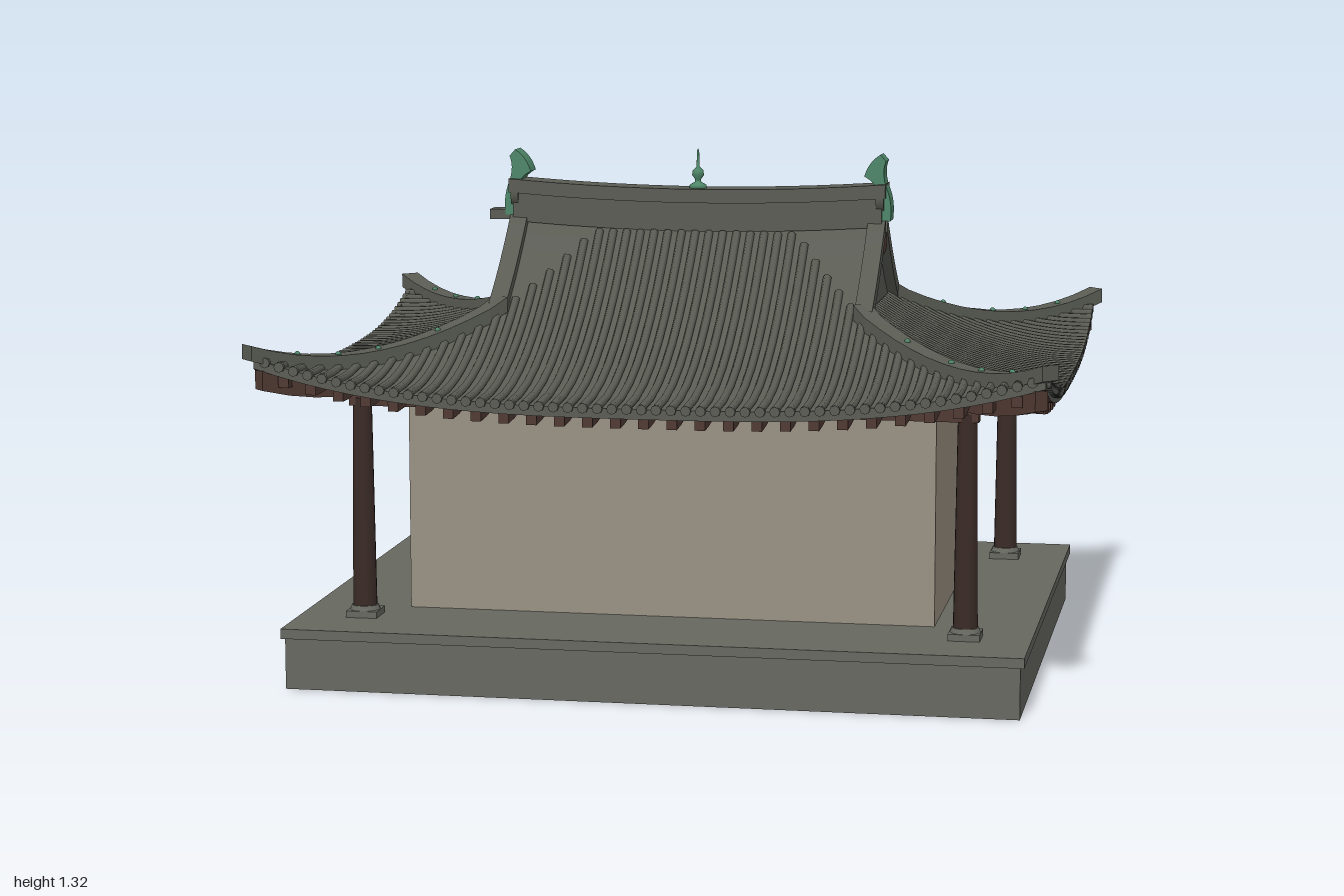
import * as THREE from 'three';
import { mergeGeometries } from 'three/addons/utils/BufferGeometryUtils.js';

const V = (x, y, z) => new THREE.Vector3(x, y, z);
const material = (name, color, side = THREE.FrontSide) => {
  const m = new THREE.MeshStandardMaterial({ color, side });
  m.name = name;
  return m;
};

// Roof rules: d is the distance out from the ridge line, a runs along the eave.
const EAVE = 0.765, GABLE = 0.27, RIDGE_X = 0.47, EAVE_X = 0.98;
const halfX = d => d < GABLE ? RIDGE_X : RIDGE_X + (d - GABLE) / (EAVE - GABLE) * (EAVE_X - RIDGE_X);
const hipD = x => x < RIDGE_X ? 0 : GABLE + (x - RIDGE_X) / (EAVE_X - RIDGE_X) * (EAVE - GABLE);
const roofY = (d, w) => 0.745 + 0.395 * (1 - d / EAVE) ** 2
  + 0.1 * (halfX(d) / EAVE_X) ** 3 * (d / EAVE) * Math.abs(w) ** 3;
const roofPoint = (isSide, sign, d, a, lift = 0) => isSide
  ? V(sign * halfX(d), roofY(d, a / d) + lift, a)
  : V(a, roofY(d, a / halfX(d)) + lift, sign * d);
const steps = (from, to, n) => Array.from({ length: n + 1 }, (_, i) => from + (to - from) * i / n);

function buildIndexed(points, index) {
  const g = new THREE.BufferGeometry().setFromPoints(points);
  g.setIndex(index);
  return g;
}

// Smooth sheet from a two-parameter rule
function sheet(rule, nu, nv, flip) {
  const pts = [], idx = [];
  for (let j = 0; j <= nv; j++) for (let i = 0; i <= nu; i++) pts.push(rule(i / nu, j / nv));
  for (let j = 0; j < nv; j++) for (let i = 0; i < nu; i++) {
    const a = j * (nu + 1) + i, b = a + 1, c = a + nu + 1, d = c + 1;
    idx.push(...(flip ? [a, b, c, b, d, c] : [a, c, b, b, c, d]));
  }
  const g = buildIndexed(pts, idx);
  g.computeVertexNormals();
  return g;
}

// Rectangular bar swept along points lying on its underside
function bar(path, w, h) {
  const pts = [], idx = [], n = path.length;
  path.forEach((p, i) => {
    const t = path[Math.min(i + 1, n - 1)].clone().sub(path[Math.max(i - 1, 0)]);
    const s = V(-t.z, 0, t.x).normalize().multiplyScalar(w / 2);
    const up = V(0, h, 0), l = p.clone().add(s), r = p.clone().sub(s);
    pts.push(l, l.clone().add(up), r.clone().add(up), r);
  });
  for (let i = 0; i < n - 1; i++) for (let k = 0; k < 4; k++) {
    const a = i * 4 + k, b = i * 4 + (k + 1) % 4;
    idx.push(a, a + 4, b + 4, a, b + 4, b);
  }
  const e = (n - 1) * 4;
  idx.push(0, 1, 2, 0, 2, 3, e + 3, e + 2, e + 1, e + 3, e + 1, e);
  const g = buildIndexed(pts, idx).toNonIndexed();
  g.computeVertexNormals();
  return g;
}

const merge = list => mergeGeometries(list.map(g => {
  const f = g.index ? g.toNonIndexed() : g;
  f.deleteAttribute('uv');
  return f;
}));

export function createModel() {
  const model = new THREE.Group();
  const body = new THREE.Group();
  body.name = 'pavilion';
  body.position.z = 0.096;
  model.add(body);

  const stone = material('stone grey', 0x666860);
  const tile = material('tile grey', 0x5a5c54, THREE.DoubleSide);
  const plaster = material('plaster', 0x9a9183);
  const panel = material('pale panel', 0x8f8a78);
  const wood = material('brown wood', 0x513a33, THREE.DoubleSide);
  const darkWood = material('dark wood', 0x3a2b27);
  const green = material('patina green', 0x4f8769);

  const add = (name, geometry, mat, x = 0, y = 0, z = 0) => {
    const m = new THREE.Mesh(geometry, mat);
    m.name = name;
    m.position.set(x, y, z);
    body.add(m);
    return m;
  };
  const box = (name, mat, w, h, d, x, y, z) => add(name, new THREE.BoxGeometry(w, h, d), mat, x, y, z);

  // Platform and stairs
  box('platform', stone, 1.85, 0.13, 1.44, 0, 0.065, 0);
  box('platformLip', stone, 1.87, 0.025, 1.455, 0, 0.1425, 0);
  [0.12, 0.09, 0.06, 0.03, 0.006].forEach((h, i) => {
    const out = [0.76, 0.815, 0.868, 0.922, 0.976][i];
    box('stairStep', stone, 0.42, h, out - 0.7, 0, h / 2, -(out + 0.7) / 2);
  });

  // Hall walls, with the entrance on the rear side
  box('walls', plaster, 1.36, 0.6, 0.82, 0, 0.45, 0);
  box('entrancePanel', panel, 1.34, 0.56, 0.008, 0, 0.43, -0.412);
  for (const x of [-0.58, -0.25, 0.25, 0.58]) box('wallPost', panel, 0.04, 0.56, 0.02, x, 0.43, -0.415);
  box('doorFrame', wood, 0.31, 0.4, 0.02, 0, 0.355, -0.42);
  for (const s of [-1, 1]) {
    box('doorLeaf', darkWood, 0.128, 0.36, 0.012, s * 0.067, 0.345, -0.428);
    box('windowBack', darkWood, 0.23, 0.2, 0.008, s * 0.41, 0.455, -0.418);
    for (const y of [0.355, 0.422, 0.488, 0.555]) box('windowRail', wood, 0.24, 0.014, 0.014, s * 0.41, y, -0.424);
    for (let i = 0; i < 8; i++) box('windowBar', wood, 0.01, 0.2, 0.014, s * 0.41 - 0.115 + i * 0.0329, 0.455, -0.425);
  }
  box('plaque', darkWood, 0.22, 0.08, 0.016, 0, 0.62, -0.42);

  // Columns and tie beams
  for (const x of [-0.77, 0.77]) for (const z of [-0.526, 0.526]) {
    box('columnPlinth', stone, 0.08, 0.018, 0.08, x, 0.163, z);
    add('columnFoot', new THREE.CylinderGeometry(0.034, 0.039, 0.012, 16), stone, x, 0.178, z);
    add('column', new THREE.CylinderGeometry(0.024, 0.031, 0.54, 16), darkWood, x, 0.45, z);
  }
  for (const s of [-1, 1]) {
    box('longBeam', wood, 1.6, 0.06, 0.04, 0, 0.73, s * 0.526);
    box('shortBeam', wood, 0.04, 0.06, 1.09, s * 0.77, 0.73, 0);
    box('sidePurlin', wood, 0.022, 0.045, 0.75, s * 0.77, 0.758, 0);
    box('wallPlate', wood, 1.38, 0.05, 0.03, 0, 0.725, s * 0.4);
  }

  // Roof sheets, soffits, tile rolls and rafters on all four slopes
  const rolls = [], caps = [], rafters = [];
  for (const isSide of [false, true]) for (const sign of [-1, 1]) {
    const d0 = isSide ? GABLE : 0.001;
    const flip = isSide === (sign > 0);
    const half = d => isSide ? d : halfX(d);
    const layer = (lift, start) => (u, v) => {
      const d = start + (EAVE - start) * v;
      return roofPoint(isSide, sign, d, (u * 2 - 1) * half(d), lift);
    };
    add('roofSlope', sheet(layer(0, d0), 32, 22, flip), tile);
    add('soffit', sheet(layer(-0.025, 0.42), 32, 10, !flip), wood);
    add('eaveEdge', sheet((u, v) =>
      roofPoint(isSide, sign, EAVE, (u * 2 - 1) * half(EAVE), -0.025 * v), 32, 1, flip), tile);

    const spacing = isSide ? 0.03 : 0.0365;
    const count = Math.floor((half(EAVE) - 0.02) / spacing);
    for (let k = -count; k <= count; k++) {
      const a = k * spacing, r = Math.abs(a);
      let start = isSide ? Math.max(GABLE, r) : Math.max(0.04, hipD(r));
      if (!isSide && r > 0.27 && r < RIDGE_X) start = 0.04 + (r - 0.27) * 1.15;
      const pts = steps(start, EAVE + 0.003, 7).map(d => roofPoint(isSide, sign, d, a, 0.003));
      rolls.push(new THREE.TubeGeometry(new THREE.CatmullRomCurve3(pts), 8, 0.011, 6));
      const cap = new THREE.CylinderGeometry(0.013, 0.013, 0.012, 8).rotateX(Math.PI / 2);
      if (isSide) cap.rotateY(Math.PI / 2);
      const end = pts[pts.length - 1];
      caps.push(cap.translate(end.x, end.y - 0.003, end.z));
    }
    const n = Math.floor(half(0.74) / 0.07);
    for (let k = -n; k <= n; k++) {
      const a = k * 0.07, r = Math.abs(a);
      const start = Math.max(0.43, isSide ? r : hipD(r));
      if (start < 0.72) rafters.push(bar(steps(start, 0.745, 5)
        .map(d => roofPoint(isSide, sign, d, a, -0.052)), 0.026, 0.028));
    }
  }
  add('tileRolls', merge(rolls), tile);
  add('tileEnds', merge(caps), tile);
  add('rafters', merge(rafters), wood);

  // Hip ridges, verge ridges and gable walls
  const gable = new THREE.Shape(steps(-0.275, 0.275, 24)
    .map(z => new THREE.Vector2(z, roofY(Math.abs(z), 0) - 0.004)));
  for (const sx of [-1, 1]) {
    const wall = add('gableWall', new THREE.ShapeGeometry(gable), tile, sx * 0.472);
    wall.rotation.y = sx * Math.PI / 2;
    const drop = add('gablePendant', new THREE.SphereGeometry(0.03, 16, 10), wood, sx * 0.488, 1.085, 0);
    drop.scale.set(0.4, 1.25, 0.9);
    for (const sz of [-1, 1]) {
      const hip = (d, lift) => V(sx * halfX(d), roofY(d, 1) + lift, sz * d);
      add('hipRidge', bar(steps(GABLE - 0.01, EAVE + 0.012, 12).map(d => hip(d, -0.008)), 0.052, 0.038), tile);
      add('vergeRidge', bar(steps(0.02, GABLE + 0.01, 8)
        .map(d => V(sx * 0.476, roofY(d, 1) - 0.015, sz * d)), 0.046, 0.043), tile);
      add('hipRafter', bar(steps(0.45, 0.755, 6).map(d => hip(d, -0.075)), 0.04, 0.05), wood);
      for (const d of [0.4, 0.52, 0.6, 0.68]) {
        const p = hip(d, 0.03);
        add('hipStud', new THREE.SphereGeometry(0.008, 8, 6), green, p.x, p.y, p.z);
      }
    }
  }

  // Main ridge, gently raised at its ends
  const ridge = (y, half) => steps(-half, half, 16).map(x => V(x, y + 0.08 * x * x, 0));
  add('ridgeWall', bar(ridge(1.105, 0.49), 0.07, 0.08), tile);
  add('ridgeCap', bar(ridge(1.18, 0.5), 0.09, 0.036), tile);
  box('ridgeEndBlock', tile, 0.08, 0.026, 0.055, -0.515, 1.14, 0);
  for (const s of [-1, 1]) {
    const disc = add('ridgeEndDisc', new THREE.CylinderGeometry(0.045, 0.045, 0.02, 20), tile, s * 0.485, 1.2, 0);
    disc.rotation.z = Math.PI / 2;
  }

  // Curled ridge-end ornaments
  const curl = new THREE.Shape();
  curl.moveTo(0.452, 1.14);
  curl.lineTo(0.512, 1.14);
  curl.quadraticCurveTo(0.518, 1.19, 0.5, 1.23);
  curl.quadraticCurveTo(0.488, 1.27, 0.5, 1.295);
  curl.lineTo(0.485, 1.312);
  curl.quadraticCurveTo(0.455, 1.295, 0.443, 1.255);
  curl.quadraticCurveTo(0.475, 1.24, 0.476, 1.21);
  curl.closePath();
  const curlGeometry = new THREE.ExtrudeGeometry(curl, { depth: 0.06, bevelEnabled: false, curveSegments: 8 })
    .translate(0, 0, -0.03);
  add('ridgeOrnament', curlGeometry, green);
  add('ridgeOrnament', curlGeometry, green).rotation.y = Math.PI;

  // Central finial
  const finial = [[0, 0], [0.024, 0], [0.022, 0.012], [0.008, 0.02], [0.008, 0.027], [0.016, 0.038],
    [0.014, 0.05], [0.004, 0.06], [0.003, 0.1], [0, 0.108]].map(p => new THREE.Vector2(...p));
  add('finial', new THREE.LatheGeometry(finial, 16), green, 0, 1.212, 0);

  return model;
}
